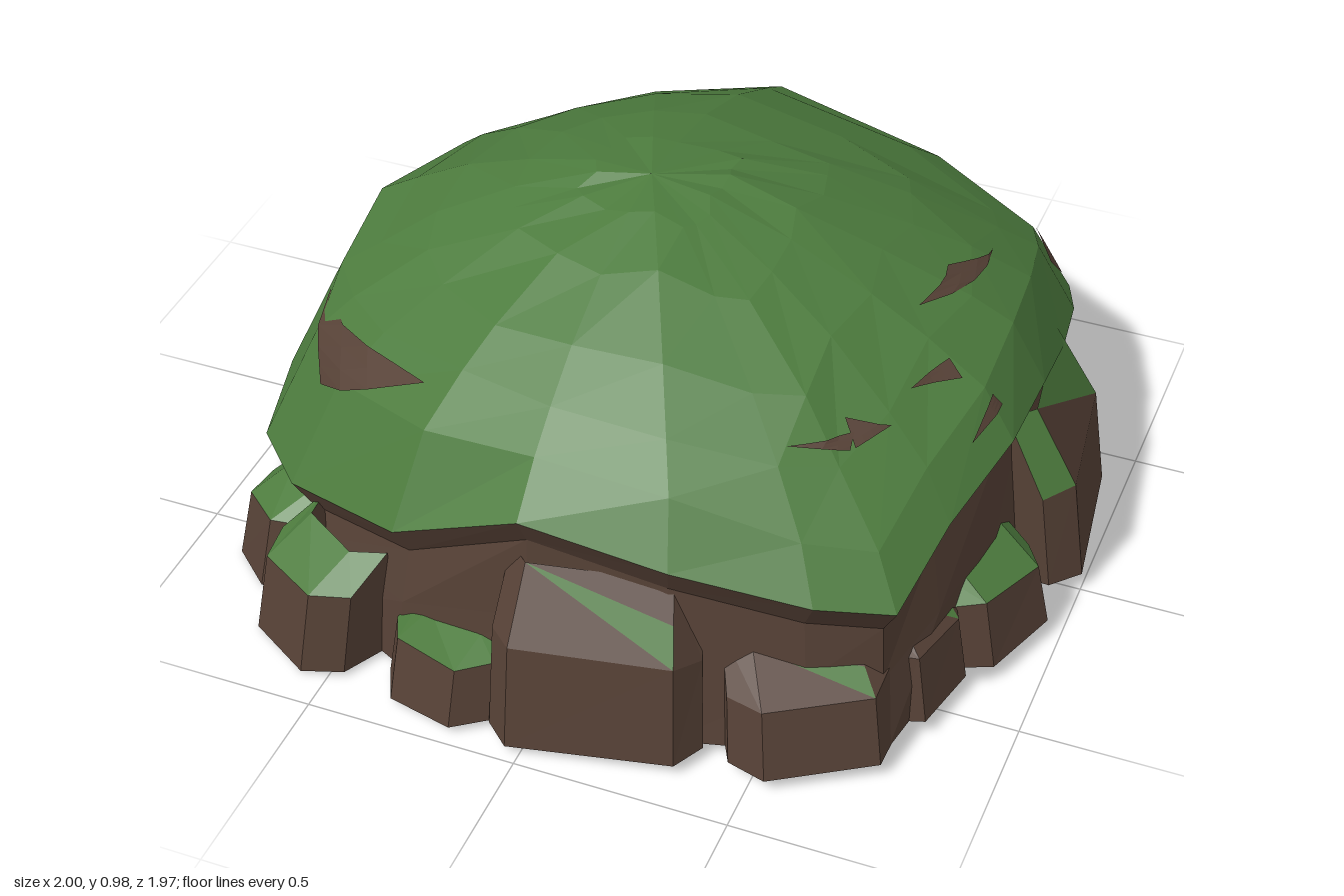
import * as THREE from 'three';

const grass = new THREE.MeshStandardMaterial({ color: 0x4d7c3e, flatShading: true, side: THREE.DoubleSide });
grass.name = 'grass green';
const earth = new THREE.MeshStandardMaterial({ color: 0x564136, flatShading: true, side: THREE.DoubleSide });
earth.name = 'earth brown';
const GRASS = 0;
const EARTH = 1;

// Small seeded jitter, -0.5 to 0.5
let seed = 11;
const rand = () => {
  seed = (seed * 16807) % 2147483647;
  return seed / 2147483647 - 0.5;
};
const groundY = (x) => 0.035 + 0.024 * x; // the underside is slightly tilted
const mix = (a, b, t) => a.map((v, k) => v + (b[k] - v) * t);

// Collects faces for the two materials, then makes one mesh.
function faceBuilder() {
  const lists = [[], []];
  return {
    tri(m, ...pts) { for (const p of pts) lists[m].push(...p); },
    quad(m, a, b, c, d) { this.tri(m, a, b, c); this.tri(m, a, c, d); },
    mesh(name) {
      const g = new THREE.BufferGeometry();
      g.setAttribute('position', new THREE.Float32BufferAttribute(lists.flat(), 3));
      g.addGroup(0, lists[0].length / 3, 0);
      g.addGroup(lists[0].length / 3, lists[1].length / 3, 1);
      g.computeVertexNormals();
      const mesh = new THREE.Mesh(g, [grass, earth]);
      mesh.name = name;
      return mesh;
    },
  };
}

// Overhanging rim of the mound: x, z, y
const rim = [
  [-0.03, 0.87, 0.59], [0.3, 0.84, 0.53], [0.6, 0.77, 0.47], [0.76, 0.69, 0.44],
  [0.8, 0.46, 0.52], [0.86, 0.2, 0.57], [0.86, -0.05, 0.55], [0.84, -0.3, 0.47],
  [0.8, -0.55, 0.39], [0.75, -0.7, 0.34], [0.45, -0.82, 0.4], [-0.04, -0.89, 0.46],
  [-0.4, -0.82, 0.4], [-0.73, -0.69, 0.31], [-0.83, -0.38, 0.37], [-0.9, 0, 0.41],
  [-0.87, 0.3, 0.37], [-0.84, 0.5, 0.31], [-0.69, 0.66, 0.33], [-0.35, 0.83, 0.43],
];

function makeMound() {
  const f = faceBuilder();
  const N = rim.length;
  const apex = [-0.03, 0.99, 0.1];
  // The shoulder above the rim dips at the corners and leans in more at the back and -x side.
  const shoulder = rim.map(([x, z]) => {
    const s = 0.875 + 0.035 * x + 0.02 * z;
    return [x * s, 0.7 - 0.55 * (x * z) ** 2, z * s];
  });
  const rings = [
    rim.map(([x, z]) => [x, groundY(x), z]),
    rim.map(([x, z, y]) => {
      const s = 0.975 + rand() * 0.03;
      return [x * s, y * 0.5, z * s];
    }),
    rim.map(([x, z, y]) => [x * 0.95, y - 0.08, z * 0.95]),
    rim.map(([x, z, y]) => [x, y, z]),
    shoulder,
  ];
  // Rounded, slightly uneven crown
  for (const t of [0.86, 0.66, 0.42, 0.2]) {
    rings.push(shoulder.map((p) => {
      const k = t + rand() * 0.06;
      return [
        apex[0] + (p[0] - apex[0]) * k,
        p[1] + (apex[1] - p[1]) * (1 - k ** 1.85) + rand() * 0.016,
        apex[2] + (p[2] - apex[2]) * k,
      ];
    }));
  }
  const last = rings[rings.length - 1];
  for (let i = 0; i < N; i++) {
    const j = (i + 1) % N;
    // Bare earth below the rim, and above it along the back and the -x side
    const bareBand = rim[i][1] < -0.6 || (rim[i][0] < -0.82 && rim[i][1] < 0.1);
    for (let r = 0; r + 1 < rings.length; r++) {
      const bare = r < 3 || (r === 3 && bareBand);
      f.quad(bare ? EARTH : GRASS, rings[r][i], rings[r][j], rings[r + 1][j], rings[r + 1][i]);
    }
    f.tri(GRASS, last[i], last[j], apex);
    f.tri(EARTH, rings[0][j], rings[0][i], [0, groundY(0), 0]);
  }
  return f.mesh('mound');
}

// Rocks round the foot: two outer corners x, z, x, z, then the height where they meet the mound
const rocks = [
  [-0.03, 0.98, 0.34, 0.91, 0.46], [0.54, 0.885, 0.76, 0.75, 0.31], [0.81, 0.59, 0.85, 0.42, 0.3],
  [0.9, 0.37, 0.97, 0.18, 0.29], [1, 0, 0.95, -0.36, 0.51], [0.85, -0.45, 0.78, -0.68, 0.29],
  [0.74, -0.8, 0.5, -0.93, 0.34], [0.31, -0.95, 0.08, -0.99, 0.34], [-0.15, -0.98, -0.34, -0.93, 0.32],
  [-0.53, -0.89, -0.73, -0.76, 0.31], [-0.94, -0.36, -1, 0, 0.42], [-0.97, 0.18, -0.9, 0.37, 0.3],
  [-0.88, 0.6, -0.78, 0.69, 0.27], [-0.72, 0.82, -0.56, 0.92, 0.3], [-0.33, 0.93, -0.17, 0.97, 0.2],
];

function makeRock([x1, z1, x2, z2, innerH]) {
  const f = faceBuilder();
  const k = 0.065 / Math.hypot(x2 - x1, z2 - z1);
  const [dx, dz] = [(x2 - x1) * k, (z2 - z1) * k];
  // Outline with a sloping flank at each end
  const outline = [
    [x1 * 0.93 - dx, z1 * 0.93 - dz], [x1, z1],
    [x2, z2], [x2 * 0.93 + dx, z2 * 0.93 + dz],
  ];
  const sections = outline.map(([x, z]) => [
    [x, groundY(x), z],
    [x * 0.965, 0.09 + innerH * 0.42 + rand() * 0.03, z * 0.965],
    [x * 0.86, innerH, z * 0.86],
    [x * 0.82, groundY(x), z * 0.82],
  ]);
  const mostlyBare = z1 > 0.5 && x1 > -0.1; // the front rocks are only partly overgrown
  const large = innerH > 0.5; // the largest rock has a bare outer facet
  for (let i = 0; i < 3; i++) {
    const [a, b] = [sections[i], sections[i + 1]];
    f.quad(EARTH, a[0], b[0], b[1], a[1]);
    if (mostlyBare) {
      const split = mix(b[1], b[2], 0.5);
      f.tri(EARTH, a[1], b[1], a[2]);
      f.tri(i === 1 ? GRASS : EARTH, b[1], split, a[2]);
      f.tri(EARTH, split, b[2], a[2]);
    } else {
      f.tri(large && i === 1 ? EARTH : GRASS, a[1], b[1], a[2]);
      f.tri(GRASS, b[1], b[2], a[2]);
    }
    f.quad(EARTH, a[2], b[2], b[3], a[3]);
    f.quad(EARTH, a[3], b[3], b[0], a[0]);
  }
  const [first, , , end] = sections;
  f.quad(EARTH, ...first);
  f.quad(EARTH, end[3], end[2], end[1], end[0]);
  return f.mesh('rock');
}

// Bare patches on the mound: corner heights y against x (front) or z (+x side)
const frontPatches = [
  [[-0.74, 0.63], [-0.66, 0.54], [-0.35, 0.7]],
  [[0.55, 0.73], [0.59, 0.69], [0.64, 0.7]],
];
const sidePatches = [
  [[0.57, 0.72], [0.5, 0.69], [0.46, 0.71]],
  [[0.3, 0.62], [0.17, 0.64], [0.18, 0.67]],
  [[0.3, 0.73], [0.2, 0.71], [0.18, 0.74]],
  [[0.1, 0.8], [-0.27, 0.72], [-0.08, 0.79]],
  [[-0.51, 0.54], [-0.64, 0.42], [-0.62, 0.55]],
];

// Lays a finely divided triangle on the mound's surface.
function makePatch(mound, [a, b, c], fromFront) {
  const n = 4;
  const f = faceBuilder();
  const dir = fromFront ? new THREE.Vector3(0, 0, -1) : new THREE.Vector3(-1, 0, 0);
  const at = (i, j) => {
    const [u, y] = [0, 1].map((k) => a[k] + ((b[k] - a[k]) * i + (c[k] - a[k]) * j) / n);
    const from = fromFront ? new THREE.Vector3(u, y, 3) : new THREE.Vector3(3, y, u);
    const hit = new THREE.Raycaster(from, dir).intersectObject(mound)[0];
    return hit.point.addScaledVector(dir, -0.009).toArray();
  };
  for (let i = 0; i < n; i++) {
    for (let j = 0; i + j < n; j++) {
      f.tri(EARTH, at(i, j), at(i + 1, j), at(i, j + 1));
      if (i + j < n - 1) f.tri(EARTH, at(i + 1, j), at(i + 1, j + 1), at(i, j + 1));
    }
  }
  return f.mesh('barePatch');
}

export function createModel() {
  const model = new THREE.Group();
  model.name = 'grassyMound';
  const mound = makeMound();
  model.add(mound);
  const rockRing = new THREE.Group();
  rockRing.name = 'rockRing';
  for (const r of rocks) rockRing.add(makeRock(r));
  model.add(rockRing);
  for (const p of frontPatches) model.add(makePatch(mound, p, true));
  for (const p of sidePatches) model.add(makePatch(mound, p, false));
  return model;
}
